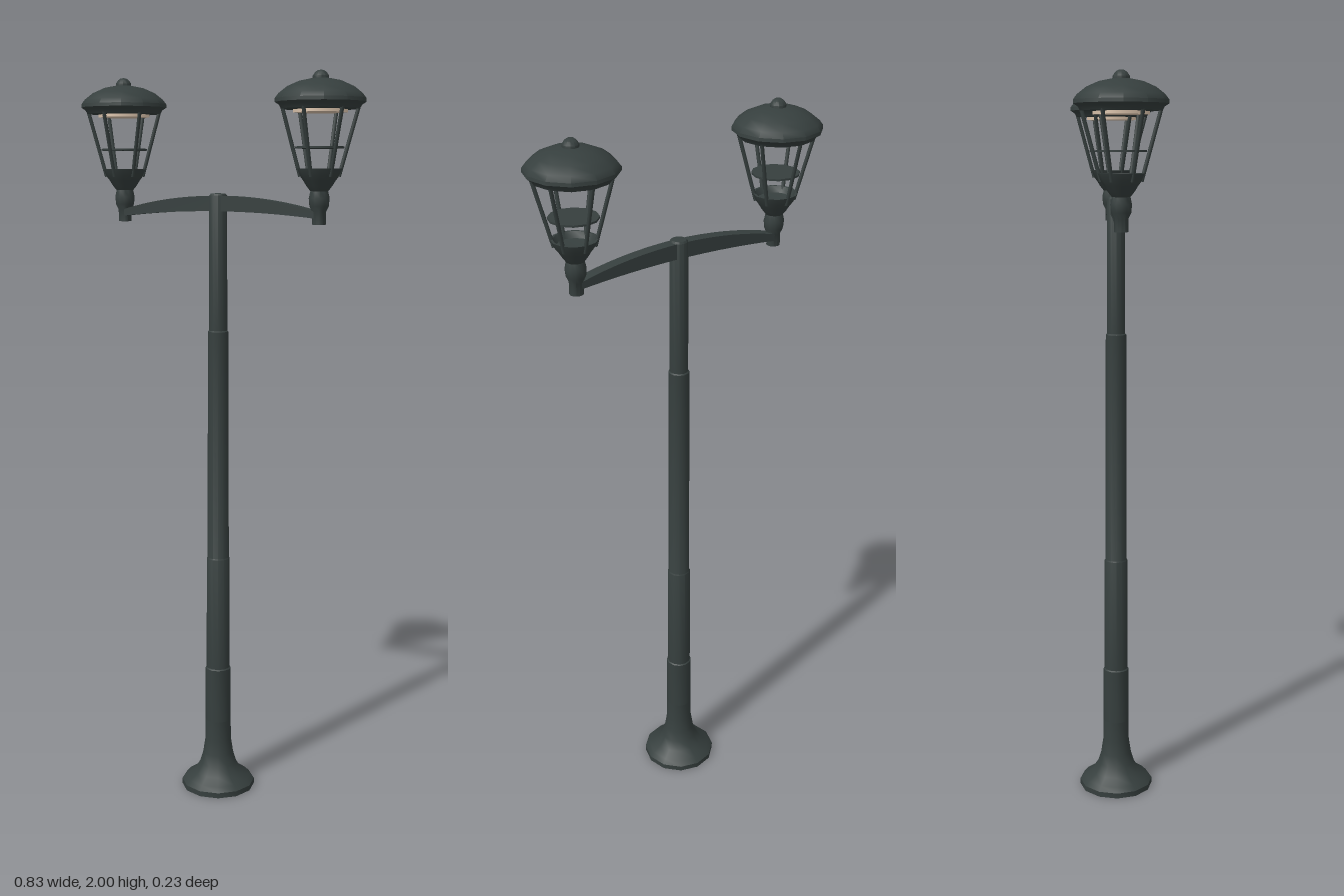
import * as THREE from 'three';
import { toCreasedNormals } from 'three/addons/utils/BufferGeometryUtils.js';

export function createModel() {
  const iron = new THREE.MeshStandardMaterial({ color: 0x363f3e });
  iron.name = 'dark iron';
  const glow = new THREE.MeshStandardMaterial({ color: 0xe0c8b0 });
  glow.name = 'warm lamp panel';

  const model = new THREE.Group();
  model.name = 'doubleStreetLamp';

  function add(parent, name, geometry, material = iron) {
    const mesh = new THREE.Mesh(geometry, material);
    mesh.name = name;
    parent.add(mesh);
    return mesh;
  }

  // Turned part from [radius, height] pairs, listed bottom to top
  function turned(profile, sides = 12) {
    const points = profile.map(([r, y]) => new THREE.Vector2(r, y));
    return toCreasedNormals(new THREE.LatheGeometry(points, sides), 0.7);
  }

  // Flared foot and stepped, tapering pole
  add(model, 'base', turned([
    [0, 0], [0.104, 0], [0.104, 0.015], [0.092, 0.028], [0.068, 0.045],
    [0.052, 0.07], [0.043, 0.1], [0.037, 0.14], [0.036, 0.2],
  ]));
  add(model, 'pole', turned([
    [0.036, 0.19], [0.036, 0.355], [0.033, 0.358], [0.032, 0.68], [0.03, 0.683],
    [0.028, 1.32], [0.025, 1.323], [0.024, 1.685], [0.02, 1.69], [0, 1.692],
  ]));

  // Bowed crossarm, thickest at the pole
  const outline = new THREE.Shape();
  outline.moveTo(-0.3, 1.628);
  outline.quadraticCurveTo(-0.15, 1.644, 0, 1.644);
  outline.quadraticCurveTo(0.15, 1.644, 0.3, 1.628);
  outline.lineTo(0.3, 1.645);
  outline.quadraticCurveTo(0.16, 1.684, 0, 1.685);
  outline.quadraticCurveTo(-0.16, 1.684, -0.3, 1.645);
  outline.closePath();
  const arm = new THREE.ExtrudeGeometry(outline, { depth: 0.032, bevelEnabled: false, curveSegments: 8 });
  arm.translate(0, 0, -0.016);
  add(model, 'crossarm', toCreasedNormals(arm, 0.6));

  const up = new THREE.Vector3(0, 1, 0);
  for (const side of [-1, 1]) {
    const lantern = new THREE.Group();
    lantern.name = side > 0 ? 'leftLantern' : 'rightLantern';
    lantern.position.x = side * 0.3;
    model.add(lantern);

    // Socket with a swollen neck, opening into a hollow cup
    add(lantern, 'socket', turned([
      [0, 1.613], [0.018, 1.613], [0.018, 1.645], [0.025, 1.66], [0.027, 1.68],
      [0.023, 1.698], [0.034, 1.712], [0.042, 1.725], [0.052, 1.738],
      [0.059, 1.755], [0.053, 1.755], [0.044, 1.74], [0, 1.733],
    ]));

    // Six slanted bars of the open cage
    for (let i = 0; i < 6; i++) {
      const a = i * Math.PI / 3;
      const low = new THREE.Vector3(Math.sin(a) * 0.05, 1.735, Math.cos(a) * 0.05);
      const high = new THREE.Vector3(Math.sin(a) * 0.099, 1.915, Math.cos(a) * 0.099);
      const dir = high.clone().sub(low);
      const bar = add(lantern, 'cageBar', new THREE.CylinderGeometry(0.005, 0.005, dir.length(), 6));
      bar.position.copy(low).add(high).multiplyScalar(0.5);
      bar.quaternion.setFromUnitVectors(up, dir.normalize());
    }

    // Middle plate and lit panel under the cap
    add(lantern, 'middlePlate', new THREE.CylinderGeometry(0.063, 0.063, 0.005, 12)).position.y = 1.808;
    add(lantern, 'lampPanel', new THREE.CylinderGeometry(0.07, 0.07, 0.008, 6), glow).position.y = 1.899;

    // Domed cap with rim and finial
    add(lantern, 'cap', turned([
      [0, 1.904], [0.1, 1.904], [0.106, 1.914], [0.117, 1.921], [0.117, 1.93],
      [0.107, 1.943], [0.085, 1.96], [0.055, 1.973], [0.025, 1.979], [0, 1.98],
    ]));
    add(lantern, 'finial', turned([
      [0.021, 1.974], [0.021, 1.985], [0.015, 1.994], [0.008, 1.999], [0, 2],
    ]));
  }

  return model;
}
